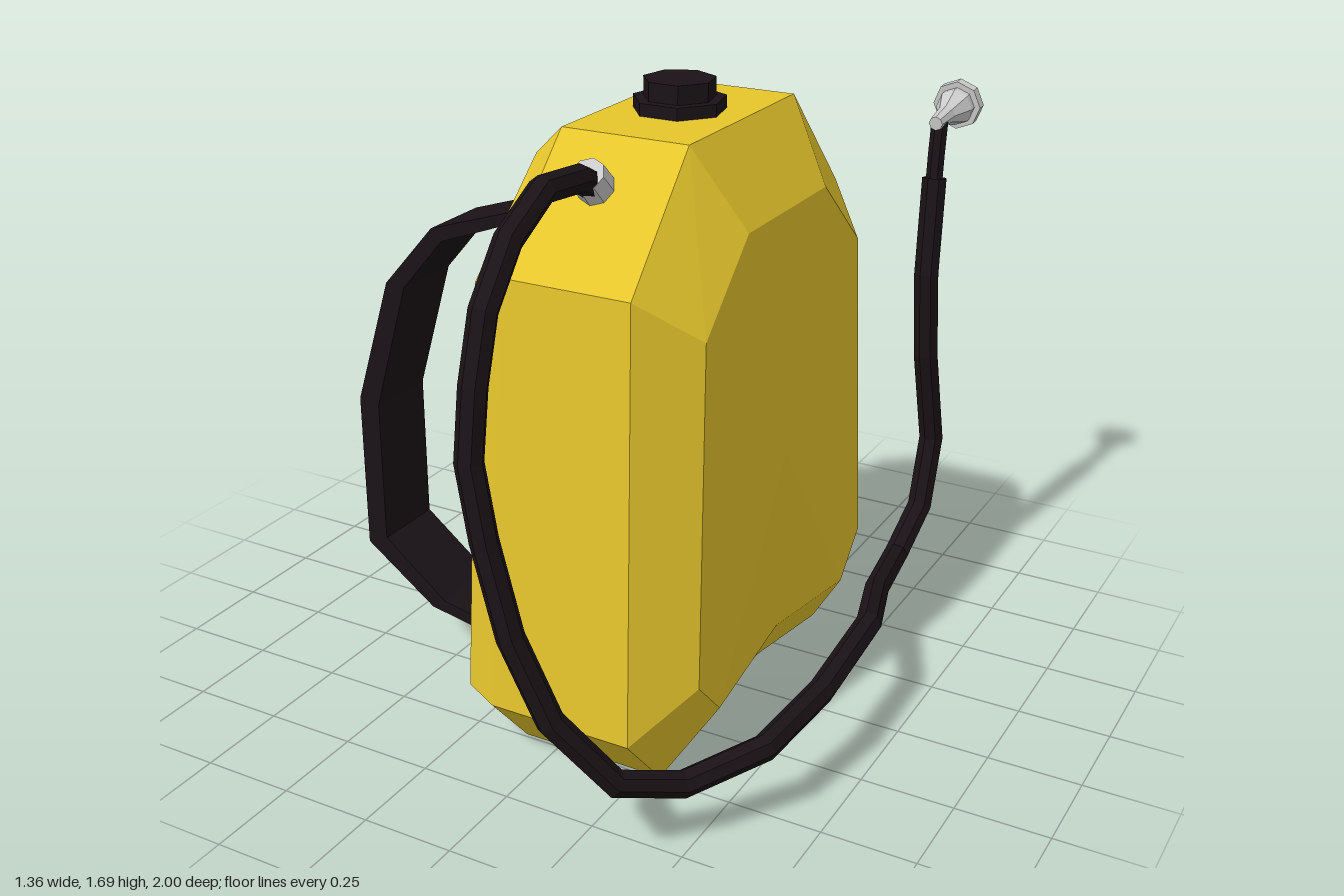
import * as THREE from 'three';

const mat = (color) => new THREE.MeshStandardMaterial({ color, flatShading: true, side: THREE.DoubleSide });

function addMesh(parent, name, geometry, material) {
  const mesh = new THREE.Mesh(geometry, material);
  mesh.name = name;
  parent.add(mesh);
  return mesh;
}

// Curve that lands exactly on its points, with mitred tangents
class Polyline extends THREE.Curve {
  constructor(points) {
    super();
    this.points = points.map((p) => new THREE.Vector3(...p));
  }
  getPointAt(u) {
    return this.points[Math.round(u * (this.points.length - 1))].clone();
  }
  getTangentAt(u) {
    const p = this.points, last = p.length - 1, i = Math.round(u * last);
    const before = p[Math.max(i, 1)].clone().sub(p[Math.max(i - 1, 0)]).normalize();
    const after = p[Math.min(i + 1, last)].clone().sub(p[Math.min(i, last - 1)]).normalize();
    return before.add(after).normalize();
  }
}

// Tank: four side-on outlines [z, y] lofted from back to front along x
function tankGeometry() {
  const back = [[0.47, 0.04], [0.02, 0.12], [-0.43, 0.04], [-0.58, 0.2], [-0.52, 1.28],
    [-0.25, 1.53], [0.28, 1.53], [0.555, 1.28], [0.62, 0.2]];
  const middle = [[0.49, 0], [0.02, 0.08], [-0.45, 0], [-0.61, 0.185], [-0.55, 1.315],
    [-0.27, 1.61], [0.3, 1.61], [0.585, 1.315], [0.65, 0.18]];
  const front = [[0.4, 0.195], [0.02, 0.235], [-0.36, 0.195], [-0.48, 0.31], [-0.42, 1.2],
    [-0.2, 1.4], [0.24, 1.4], [0.46, 1.2], [0.51, 0.31]];
  // x leans inwards with height; the middle of the lower edge is pinched
  const ring = (outline, x, lean, pinch) => outline.map(([z, y], i) => [x + lean * y + (i === 1 ? pinch : 0), y, z]);
  const rings = [
    ring(back, -0.193, 0.018, 0.025),
    ring(middle, -0.105, 0.016, 0),
    ring(middle, 0.297, -0.019, 0),
    ring(front, 0.423, -0.02, -0.022),
  ];
  const positions = [];
  const tri = (a, b, c) => positions.push(...a, ...b, ...c);
  const n = back.length;
  for (let i = 0; i < n; i++) {
    const j = (i + 1) % n;
    for (let k = 0; k < 3; k++) {
      tri(rings[k][i], rings[k][j], rings[k + 1][j]);
      tri(rings[k][i], rings[k + 1][j], rings[k + 1][i]);
    }
    tri([-0.18, 0.75, 0.02], rings[0][j], rings[0][i]);
    tri([0.408, 0.75, 0.02], rings[3][i], rings[3][j]);
  }
  const geometry = new THREE.BufferGeometry();
  geometry.setAttribute('position', new THREE.Float32BufferAttribute(positions, 3));
  geometry.computeVertexNormals();
  return geometry;
}

// Strap: bowed band, thinner where it meets the tank
function strapGeometry() {
  const outline = [
    [-0.14, 1.416], [-0.42, 1.325], [-0.57, 1.155], [-0.68, 0.81], [-0.68, 0.38], [-0.475, 0.23], [-0.17, 0.172],
    [-0.17, 0.205], [-0.435, 0.258], [-0.62, 0.405], [-0.62, 0.8], [-0.515, 1.15], [-0.39, 1.295], [-0.14, 1.388],
  ].map(([x, y]) => new THREE.Vector2(x, y));
  const geometry = new THREE.ExtrudeGeometry(new THREE.Shape(outline), { depth: 0.2, bevelEnabled: false });
  return geometry.translate(0, 0, -0.1);
}

export function createModel() {
  const model = new THREE.Group();
  model.name = 'backpackSprayer';
  const yellow = mat(0xe6c62c);
  const black = mat(0x1a1216);
  const grey = mat(0xcccccc);

  addMesh(model, 'tank', tankGeometry(), yellow);

  // Filler cap
  const cap = new THREE.Group();
  cap.name = 'fillerCap';
  cap.position.set(0.087, 1.61, 0.015);
  addMesh(cap, 'capFlange', new THREE.CylinderGeometry(0.12, 0.12, 0.04, 7, 1, false, Math.PI), black).position.y = 0.012;
  addMesh(cap, 'capKnob', new THREE.CylinderGeometry(0.093, 0.093, 0.06, 7, 1, false, Math.PI), black).position.y = 0.05;
  model.add(cap);

  // Shoulder straps
  [['leftStrap', 0.28], ['rightStrap', -0.24]].forEach(([name, z]) => {
    addMesh(model, name, strapGeometry(), black).position.z = z;
  });

  // Hose outlet on the sloping shoulder
  const outlet = addMesh(model, 'hoseOutlet', new THREE.CylinderGeometry(0.045, 0.048, 0.1, 8), grey);
  outlet.position.set(0.077, 1.515, 0.41);
  outlet.rotation.x = Math.PI / 4;

  // Hose, looping down the front, along the side and up to the nozzle
  const path = [
    [0.077, 1.52, 0.425], [0.08, 1.55, 0.48], [0.08, 1.565, 0.64], [0.08, 1.49, 0.78], [0.08, 1.36, 0.885],
    [0.08, 1.2, 0.935], [0.08, 1.03, 0.962], [0.115, 0.85, 0.967], [0.175, 0.62, 0.965], [0.26, 0.41, 0.94],
    [0.375, 0.23, 0.85], [0.475, 0.17, 0.7], [0.605, 0.21, 0.52], [0.645, 0.25, 0.28], [0.635, 0.275, -0.04],
    [0.54, 0.21, -0.33], [0.49, 0.185, -0.61], [0.505, 0.29, -0.74], [0.505, 0.49, -0.805],
    [0.49, 0.77, -0.755], [0.475, 1.01, -0.76], [0.465, 1.28, -0.805],
  ];
  addMesh(model, 'hose', new THREE.TubeGeometry(new Polyline(path), path.length - 1, 0.035, 7), black);
  const tip = [[0.465, 1.27, -0.803], [0.463, 1.35, -0.815], [0.46, 1.435, -0.835]];
  addMesh(model, 'hoseTip', new THREE.TubeGeometry(new Polyline(tip), 2, 0.024, 7), black);

  // Trumpet-shaped nozzle pointing backwards
  const profile = [[0, 0], [0.02, 0], [0.027, 0.08], [0.053, 0.145], [0.053, 0.165],
    [0.07, 0.165], [0.07, 0.195], [0, 0.195]].map(([r, y]) => new THREE.Vector2(r, y));
  const nozzle = addMesh(model, 'nozzle', new THREE.LatheGeometry(profile, 8), grey);
  nozzle.position.set(0.46, 1.436, -0.8);
  nozzle.rotation.x = -Math.PI / 2 + 0.1;

  return model;
}
